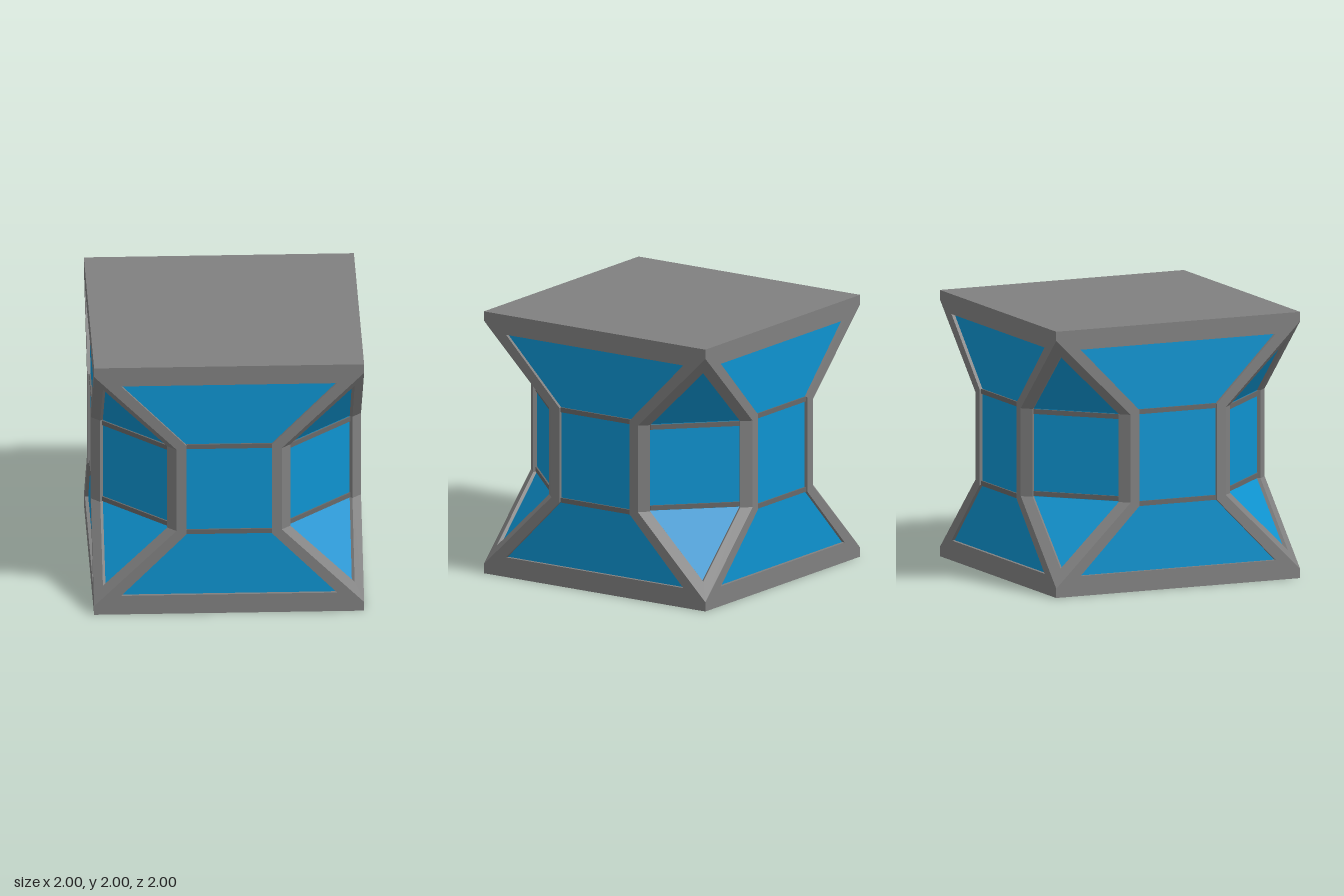
import * as THREE from 'three';

const frameMat = new THREE.MeshStandardMaterial({ color: 0x808080 });
frameMat.name = 'frameGrey';
const barMat = new THREE.MeshStandardMaterial({ color: 0x686868 });
barMat.name = 'barGrey';
const panelMat = new THREE.MeshStandardMaterial({ color: 0x0e93d0 });
panelMat.name = 'panelBlue';

const v = (x, y, z) => new THREE.Vector3(x, y, z);

// Flat-shaded geometry from convex polygons, corners counter-clockwise
function polygons(list) {
  const pos = [];
  for (const p of list) {
    for (let i = 1; i < p.length - 1; i++) {
      const t = [p[0], p[i], p[i + 1]];
      if (new THREE.Triangle(...t).getArea() < 1e-7) continue;
      t.forEach((q) => pos.push(q.x, q.y, q.z));
    }
  }
  const g = new THREE.BufferGeometry();
  g.setAttribute('position', new THREE.Float32BufferAttribute(pos, 3));
  g.computeVertexNormals();
  return g;
}

// Bands joining each loop of points to the next
function bands(...loops) {
  const quads = [];
  for (let k = 0; k < loops.length - 1; k++) {
    const a = loops[k], b = loops[k + 1], n = a.length;
    for (let i = 0; i < n; i++) {
      const j = (i + 1) % n;
      quads.push([a[i], a[j], b[j], b[i]]);
    }
  }
  return polygons(quads);
}

function add(group, name, geometry, material) {
  const m = new THREE.Mesh(geometry, material);
  m.name = name;
  group.add(m);
  return m;
}

// Turns one quarter of an outline (upper right, top to middle) into a full loop
function fullLoop(quarter, z) {
  const ur = quarter.map(([x, y]) => v(x, y, z));
  const flipX = (p) => v(-p.x, p.y, p.z), flipY = (p) => v(p.x, 2 - p.y, p.z);
  const ul = ur.map(flipX);
  return [...ul, ...ul.map(flipY).reverse(), ...ur.map(flipY), ...ur.slice().reverse()];
}

// Hourglass side: flush frame, recessed panel, two cross bars
function makeSide() {
  const g = new THREE.Group();
  g.name = 'side';
  const outer = fullLoop([[1, 2], [1, 1.93], [0.39, 1.33]], 1);
  const hole = [[0.8, 1.85], [0.8, 1.85], [0.317, 1.36]];
  const inner = fullLoop(hole, 1), deep = fullLoop(hole, 0.975);
  add(g, 'sideFrame', bands(outer, inner, deep), frameMat);
  const [a, , b, c, , d, e, , f, h, , i] = deep;
  add(g, 'sidePanel', polygons([[a, b, h, i], [b, c, f, h], [c, d, e, f]]), panelMat);
  for (const y of [1.345, 0.655]) {
    add(g, 'sideBar', new THREE.BoxGeometry(0.634, 0.036, 0.03), barMat).position.set(0, y, 0.972);
  }
  return g;
}

// Concave corner: folded frame, three recessed panels, two cross bars
function makeCorner() {
  const g = new THREE.Group();
  g.name = 'corner';
  const loop = (tip, tipY, near, far, s) => [
    v(tip, tipY, tip), v(near, 1.33, far), v(near, 0.67, far),
    v(tip, 2 - tipY, tip), v(far, 0.67, near), v(far, 1.33, near),
  ].map((p) => p.sub(v(s, 0, s)));
  const outer = loop(1, 1.93, 0.39, 1, 0);
  const inner = loop(0.932, 1.795, 0.456, 0.934, 0);
  const deep = loop(0.932, 1.795, 0.456, 0.934, 0.02);
  add(g, 'cornerFrame', bands(outer, inner, deep), frameMat);
  const [t, a, b, u, c, d] = deep;
  add(g, 'cornerPanels', polygons([[t, a, d], [a, b, c, d], [b, u, c]]), panelMat);
  const r = 0.952 / Math.SQRT2;
  for (const y of [1.308, 0.692]) {
    const bar = add(g, 'cornerBar', new THREE.BoxGeometry(0.67, 0.036, 0.03), barMat);
    bar.position.set(r, y, r);
    bar.rotation.y = Math.PI / 4;
  }
  return g;
}

export function createModel() {
  const model = new THREE.Group();
  model.name = 'hourglassCube';

  // Top and bottom faces
  const top = add(model, 'topPlate', new THREE.PlaneGeometry(2, 2), frameMat);
  top.rotation.x = -Math.PI / 2;
  top.position.y = 2;
  const bottom = add(model, 'bottomPlate', new THREE.PlaneGeometry(2, 2), frameMat);
  bottom.rotation.x = Math.PI / 2;

  // Four sides and four corners
  for (let k = 0; k < 4; k++) {
    for (const part of [makeSide(), makeCorner()]) {
      part.rotation.y = (k * Math.PI) / 2;
      model.add(part);
    }
  }
  return model;
}
